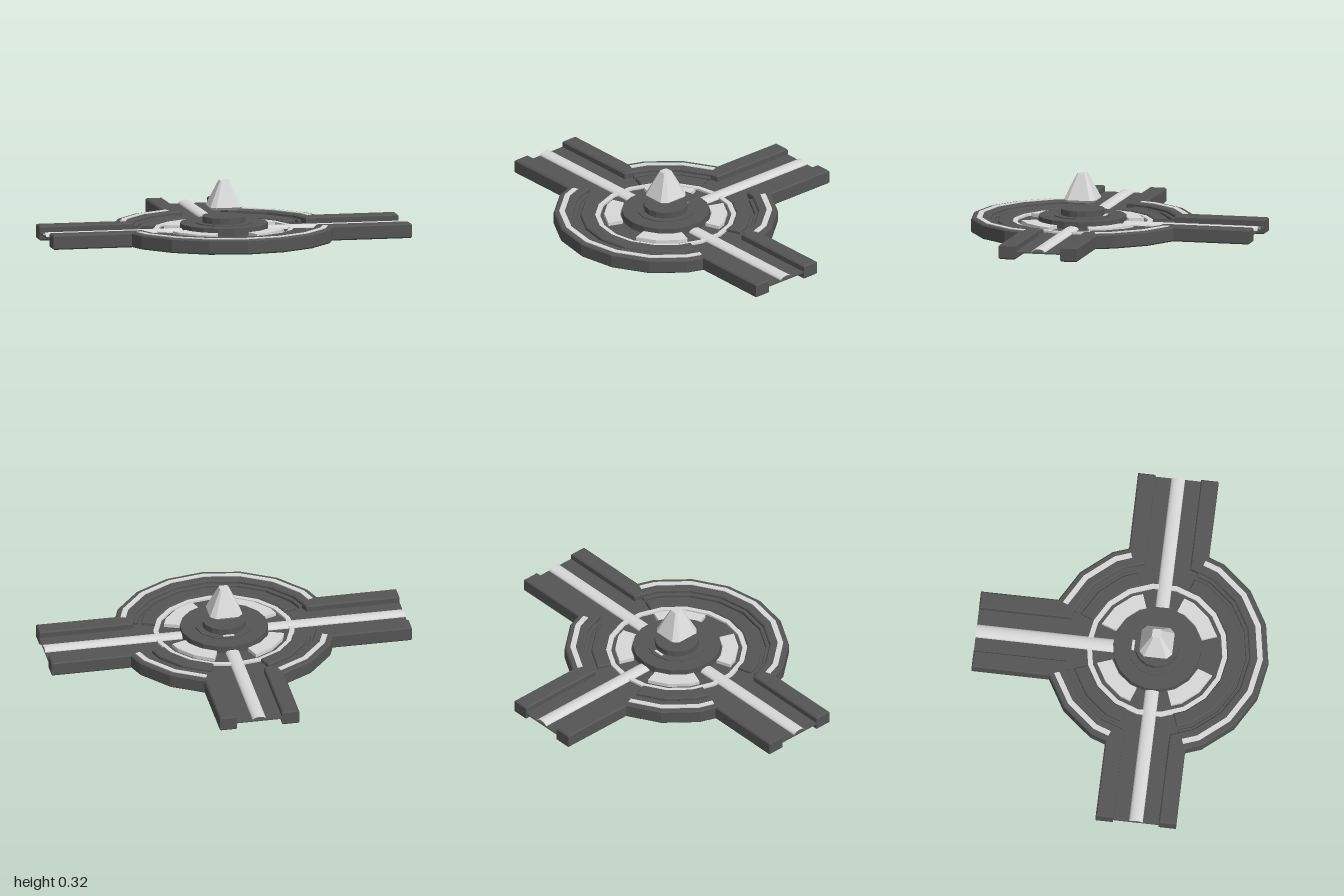
import * as THREE from 'three';

const RAD = Math.PI / 180;

// Points along an 18-sided ring (corners every 20 degrees), angles from +x towards the back
function arcPts(r, a0, a1) {
  const angles = [a0];
  for (let a = -170; a <= 190; a += 20) if (a > a0 + 0.5 && a < a1 - 0.5) angles.push(a);
  angles.push(a1);
  return angles.map((a) => {
    const off = ((((a - 10) % 20) + 20) % 20) - 10;
    const k = r * Math.cos(10 * RAD) / Math.cos(off * RAD);
    return new THREE.Vector2(k * Math.cos(a * RAD), k * Math.sin(a * RAD));
  });
}

// Upright slab from a plan outline, with a small chamfer
function slab(points, y0, y1, bevel = 0) {
  const g = new THREE.ExtrudeGeometry(new THREE.Shape(points), {
    depth: y1 - y0 - 2 * bevel, bevelEnabled: bevel > 0, bevelThickness: bevel,
    bevelSize: bevel, bevelOffset: -bevel, bevelSegments: 1,
  });
  g.rotateX(-Math.PI / 2);
  g.translate(0, y0 + bevel, 0);
  return g;
}

function sector(r0, r1, a0, a1, y0, y1, bevel = 0) {
  return slab([...arcPts(r1, a0, a1), ...arcPts(r0, a0, a1).reverse()], y0, y1, bevel);
}

// Gem built from square sections with cut corners: [half width, corner cut, y]
function gemGeometry(sections) {
  const pos = [];
  const rings = sections.map(([h, c, y]) => [
    [h, h - c], [h - c, h], [c - h, h], [-h, h - c], [-h, c - h], [c - h, -h], [h - c, -h], [h, c - h],
  ].map(([x, z]) => [x, y, z]));
  for (let s = 0; s < rings.length - 1; s++) {
    for (let i = 0; i < 8; i++) {
      const j = (i + 1) % 8, a = rings[s][i], b = rings[s][j], c = rings[s + 1][j], d = rings[s + 1][i];
      pos.push(...a, ...d, ...b, ...b, ...d, ...c);
    }
  }
  const low = rings[0], top = rings[rings.length - 1];
  for (let i = 1; i < 7; i++) {
    pos.push(...low[0], ...low[i], ...low[i + 1], ...top[0], ...top[i + 1], ...top[i]);
  }
  const g = new THREE.BufferGeometry();
  g.setAttribute('position', new THREE.Float32BufferAttribute(pos, 3));
  g.computeVertexNormals();
  return g;
}

export function createModel() {
  const model = new THREE.Group();
  const hub = new THREE.Group();
  hub.name = 'junction';
  hub.position.z = 0.19;
  model.add(hub);

  const dark = new THREE.MeshStandardMaterial({ color: 0x555555, flatShading: true });
  dark.name = 'dark stone';
  const light = new THREE.MeshStandardMaterial({ color: 0xd8d8d8, flatShading: true });
  light.name = 'pale inlay';
  const glow = new THREE.MeshStandardMaterial({ color: 0xd8d8d8, side: THREE.DoubleSide });
  glow.name = 'pale strip';

  const add = (name, geo, mat) => {
    const m = new THREE.Mesh(geo, mat);
    m.name = name;
    hub.add(m);
    return m;
  };
  const V = (x, y) => new THREE.Vector2(x, y);
  const W = 0.22, I = 0.125, BACK = 0.99, FLOOR = 0.045;

  // Floor plate: hub plus three arms
  add('hubFloor', sector(0.01, 0.55, -180, 180, 0.038, FLOOR), dark);
  for (const s of [-1, 1]) {
    add('sideArmFloor', new THREE.BoxGeometry(0.6, 0.007, 0.3).translate(s * 0.7, 0.0415, 0), dark);
  }
  add('backArmFloor', new THREE.BoxGeometry(0.3, 0.007, 0.59).translate(0, 0.0415, -0.695), dark);

  // Walls: one long front wall and two back corners
  add('frontWall', slab([
    V(-1, -W), ...arcPts(0.61, -158.7, -21.3), V(1, -W),
    V(1, -I), ...arcPts(0.505, -165.5, -14.5).reverse(), V(-1, -I),
  ], 0, 0.08, 0.007), dark);
  const corner = [
    V(1, W), ...arcPts(0.61, 21.3, 68.7), V(W, BACK),
    V(I, BACK), ...arcPts(0.505, 14.5, 75.5).reverse(), V(1, I),
  ];
  add('backLeftWall', slab(corner, 0, 0.08, 0.007), dark);
  add('backRightWall', slab(corner.map((p) => V(-p.x, p.y)), 0, 0.08, 0.007), dark);

  // Quadrant spans, shared by the concentric details
  const wide = [[-160, -20], [20, 70], [110, 160]];
  for (const [a0, a1] of wide) {
    add('rimInlay', sector(0.55, 0.58, a0 + 1, a1 - 1, 0.078, 0.084), light);
    add('innerLedge', sector(0.485, 0.515, a0, a1, 0.04, 0.062, 0.004), dark);
    add('raisedArc', sector(0.385, 0.465, a0, a1, 0.04, 0.065, 0.006), dark);
  }
  add('thinRing', sector(0.358, 0.385, -180, 180, 0.043, 0.056), light);
  for (const a of [-160, -70, 20, 110]) {
    add('quadrantInlay', sector(0.25, 0.335, a, a + 50, 0.043, 0.065), light);
  }

  // Rounded pale strips down each arm
  for (const [angle, end] of [[0, 1], [90, BACK], [180, 1]]) {
    const len = end - 0.21;
    const g = new THREE.CylinderGeometry(0.038, 0.038, len, 10, 1, true, 0, Math.PI);
    g.rotateZ(Math.PI / 2);
    g.rotateX(Math.PI);
    g.computeBoundingBox();
    // Keep the half tube arching upwards and flatten it
    if (g.boundingBox.max.y < 0.01) g.rotateX(Math.PI);
    g.scale(1, 0.5, 1);
    g.translate(0.21 + len / 2, FLOOR, 0);
    add('armStrip', g, glow).rotation.y = angle * RAD;
  }

  // Central stepped pedestal
  const steps = [[0.24, 0.04, 0.087, 18], [0.16, 0.087, 0.092, 12], [0.12, 0.092, 0.125, 16]];
  for (const [r, y0, y1, n] of steps) {
    add('pedestalStep', new THREE.CylinderGeometry(r, r, y1 - y0, n).translate(0, (y0 + y1) / 2, 0), dark);
  }
  add('pedestalMark', new THREE.BoxGeometry(0.06, 0.006, 0.015).translate(0, 0.092, -0.13), light);

  // Floating crystal
  add('crystal', gemGeometry([
    [0.075, 0.022, 0.165], [0.09, 0.028, 0.18], [0.026, 0.008, 0.32],
  ]), light);

  return model;
}
